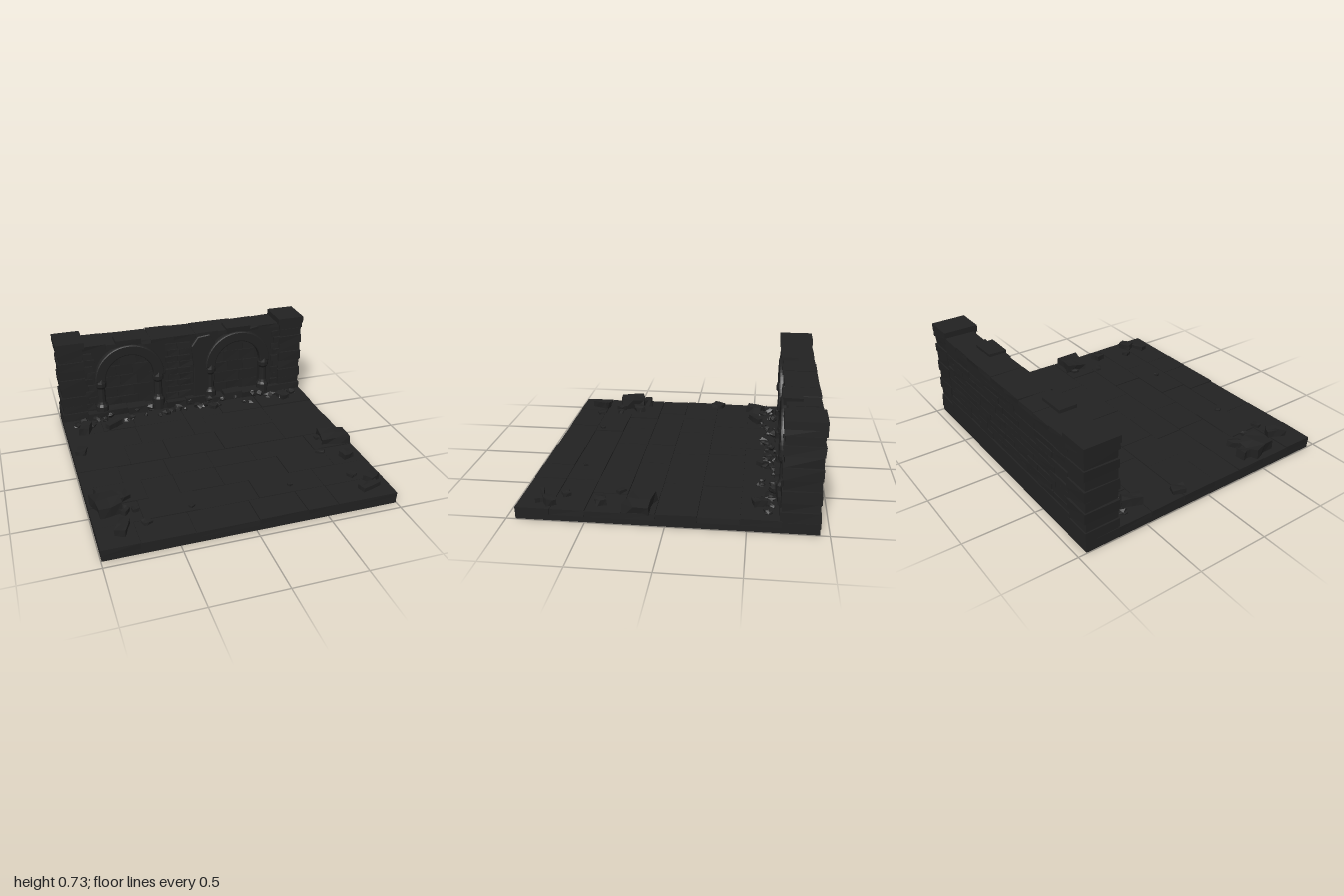
import * as THREE from 'three';

const stone = new THREE.MeshStandardMaterial({ color: 0x222222, flatShading: true });
stone.name = 'dark stone';

let seed = 7;
const rnd = (a = 0, b = 1) => {
  seed = (seed * 16807) % 2147483647;
  return a + (b - a) * seed / 2147483647;
};

// Shift coincident corners together so chipped stones stay closed
function chip(geo, amount) {
  const p = geo.attributes.position, moved = new Map();
  for (let i = 0; i < p.count; i++) {
    const key = [p.getX(i), p.getY(i), p.getZ(i)].map(v => Math.round(v * 1e4)).join();
    if (!moved.has(key)) moved.set(key, [0, 0, 0].map(() => rnd(-amount, amount)));
    const d = moved.get(key);
    p.setXYZ(i, p.getX(i) + d[0], p.getY(i) + d[1], p.getZ(i) + d[2]);
  }
  geo.computeVertexNormals();
  return geo;
}

function add(parent, name, geo, x = 0, y = 0, z = 0) {
  const m = new THREE.Mesh(geo, stone);
  m.name = name;
  m.position.set(x, y, z);
  parent.add(m);
  return m;
}

// Box given by its limits on each axis
function block(parent, name, x0, x1, y0, y1, z0, z1, rough = 0) {
  const g = new THREE.BoxGeometry(x1 - x0, y1 - y0, z1 - z0);
  if (rough) chip(g, rough);
  return add(parent, name, g, (x0 + x1) / 2, (y0 + y1) / 2, (z0 + z1) / 2);
}

function section(root, name) {
  const g = new THREE.Group();
  g.name = name;
  root.add(g);
  return g;
}

// Arch outline: half circle on two straight legs
function archPath(path, cx, r, springY, footY) {
  path.moveTo(cx - r, footY);
  path.lineTo(cx + r, footY);
  path.lineTo(cx + r, springY);
  path.absarc(cx, springY, r, 0, Math.PI, false);
  path.lineTo(cx - r, footY);
  return path;
}

function buildFloor(root) {
  const floor = section(root, 'floor');
  block(floor, 'floorSlab', -0.995, 0.995, 0, 0.071, -0.94, 0.94);
  // Uneven paving rows with staggered joints
  const rows = [-0.71, -0.46, -0.2, 0.06, 0.27, 0.5, 0.72, 0.943];
  const joints = [
    [-1, -0.72, -0.47, -0.07, 0.24, 0.57, 1], [-1, -0.48, -0.07, 0.06, 0.57, 1],
    [-1, -0.62, -0.33, 0.08, 0.56, 1], [-1, -0.72, -0.39, -0.07, 0.25, 0.7, 1],
    [-1, -0.6, -0.38, -0.07, 0.4, 0.75, 1], [-1, -0.68, -0.3, 0.1, 0.57, 1],
    [-1, -0.75, -0.4, 0.02, 0.35, 0.57, 1]];
  joints.forEach((xs, r) => {
    for (let i = 0; i + 1 < xs.length; i++)
      block(floor, 'pavingStone', xs[i] + 0.002, xs[i + 1] - 0.002, 0.04, 0.08 + rnd(-0.003, 0.003),
        rows[r] + 0.002, rows[r + 1] - 0.002, 0.0015);
  });
}

function buildPillar(root, side) {
  const pillar = section(root, side > 0 ? 'leftPillar' : 'rightPillar');
  const span = (a, b) => side > 0 ? [a, b] : [-b, -a];
  block(pillar, 'pillarCore', ...span(0.81, 0.975), 0, 0.68, -0.93, -0.71);
  // Stone courses that step in and out
  const ys = [0.04, 0.14, 0.2, 0.28, 0.35, 0.43, 0.5, 0.57, 0.63, 0.68];
  for (let i = 0; i + 1 < ys.length; i++) {
    const o = i % 2 ? 0 : 0.008;
    block(pillar, 'pillarCourse', ...span(0.805 - o / 2, 0.985 + o), ys[i] + 0.002, ys[i + 1] - 0.002,
      -0.935 - o, -0.705 + o, 0.003);
  }
  block(pillar, 'pillarCap', ...span(0.785, 1), 0.675, 0.725, -0.945, -0.693);
}

function buildArch(wall, cx) {
  // Moulded arch band
  const spring = 0.39;
  const ring = new THREE.Shape();
  ring.absarc(cx, spring, 0.265, 0, Math.PI, false);
  ring.absarc(cx, spring, 0.2, Math.PI, 0, true);
  const band = new THREE.ExtrudeGeometry(ring, {
    depth: 0.05, bevelThickness: 0.012, bevelSize: 0.01, bevelSegments: 2, curveSegments: 14 });
  add(wall, 'archBand', band, 0, 0, -0.745);
  // Engaged columns with base and capital
  const profile = [[0, 0.08], [0.05, 0.08], [0.05, 0.17], [0.038, 0.19], [0.032, 0.21], [0.03, 0.32],
    [0.044, 0.34], [0.046, 0.37], [0.036, 0.41], [0, 0.41]].map(p => new THREE.Vector2(...p));
  for (const s of [-1, 1])
    add(wall, 'archColumn', new THREE.LatheGeometry(profile, 10), cx + s * 0.228, 0, -0.72);
  block(wall, 'keystone', cx - 0.1, cx + 0.1, 0.655, 0.702, -0.82, -0.695, 0.004);
  // Uneven stones inside the niche
  for (let r = 0; r < 5; r++)
    for (let c = 0; c < 3; c++) {
      const x = cx - 0.2 + c * 0.135 - (r % 2) * 0.03, y = 0.11 + r * 0.09;
      block(wall, 'nicheStone', x + 0.002, x + 0.132, y + 0.002, y + 0.088, -0.82, -0.779 + rnd(0, 0.008), 0.003);
    }
}

function buildWall(root) {
  const wall = section(root, 'backWall');
  block(wall, 'wallCore', -0.82, 0.82, 0.04, 0.672, -0.915, -0.785);
  // Front facing with two arched openings
  const face = new THREE.Shape([[-0.82, 0.05], [0.82, 0.05], [0.82, 0.672], [-0.82, 0.672]]
    .map(p => new THREE.Vector2(...p)));
  for (const cx of [-0.45, 0.44]) face.holes.push(archPath(new THREE.Path(), cx, 0.205, 0.39, 0.09));
  add(wall, 'wallFace', new THREE.ExtrudeGeometry(face, { depth: 0.065, bevelEnabled: false, curveSegments: 12 }),
    0, 0, -0.79);
  buildArch(wall, -0.45);
  buildArch(wall, 0.44);
  // Broken pier beside the second arch
  const pier = new THREE.Shape([[0.07, 0.13], [0.18, 0.13], [0.24, 0.27], [0.23, 0.42], [0.27, 0.55],
    [0.2, 0.66], [0.11, 0.65], [0.06, 0.58], [0.08, 0.4]].map(p => new THREE.Vector2(...p)));
  add(wall, 'brokenPier', new THREE.ExtrudeGeometry(pier, { depth: 0.025, bevelThickness: 0.008, bevelSize: 0.006,
    bevelSegments: 1 }), 0, 0, -0.73);
  // Exposed bricks around the arches
  for (let r = 0; r < 9; r++) {
    const y = 0.15 + r * 0.053;
    for (const [x0, x1] of [[-0.8, -0.73], [-0.16, -0.06], [-0.06, 0.05], [0.735, 0.8]]) {
      const s = (r % 2) * 0.02;
      block(wall, 'frontBrick', x0 + s, x1 + s - 0.006, y, y + 0.047, -0.74, -0.716 + rnd(0, 0.012), 0.003);
    }
  }
  // Back masonry between plain plinth and cornice
  block(wall, 'backPlinth', -0.82, 0.82, 0, 0.165, -0.94, -0.88);
  block(wall, 'backCornice', -0.82, 0.82, 0.61, 0.672, -0.938, -0.88);
  for (let r = 0; r < 9; r++) {
    const y = 0.168 + r * 0.049;
    for (let x = -0.81; x < 0.8;) {
      const end = Math.min(0.81, x + rnd(0.12, 0.25));
      block(wall, 'backBrick', x, end - 0.005, y, y + 0.044, -0.93 - rnd(0, 0.007), -0.9, 0.0015);
      x = end;
    }
  }
  // Chipped coping along the top
  for (let i = 0; i < 9; i++) {
    const x = -0.8 + i * 0.178;
    block(wall, 'copingStone', x, x + 0.176, 0.65, 0.684 + rnd(-0.006, 0.006), -0.94, -0.715 + rnd(-0.01, 0.02), 0.004);
  }
  // Low ledge at the foot of the wall
  for (let i = 0; i < 10; i++) {
    const x = -0.8 + i * 0.16;
    block(wall, 'footStone', x, x + 0.156, 0.06, 0.13 + rnd(-0.01, 0.015), -0.76, -0.68 + rnd(-0.01, 0.02), 0.006);
  }
}

function buildRubble(root) {
  const rubble = section(root, 'rubble');
  // x, z, width, depth, top height, turn
  const stones = [
    [-0.85, -0.51, 0.07, 0.13, 0.13, -0.4], [-0.63, -0.52, 0.13, 0.05, 0.12, 0.5], [-0.93, -0.2, 0.07, 0.09, 0.11, -0.3],
    [-0.88, 0.52, 0.15, 0.18, 0.15, 0.2], [-0.77, 0.45, 0.1, 0.07, 0.12, 0.4], [-0.9, 0.4, 0.07, 0.07, 0.14, 0.1],
    [-0.83, 0.78, 0.07, 0.13, 0.13, -0.4], [-0.67, 0.75, 0.06, 0.05, 0.1, 0.3], [-0.78, 0.6, 0.06, 0.05, 0.11, 0.8],
    [-0.71, 0.6, 0.04, 0.04, 0.1, 0.2], [0.9, 0.17, 0.2, 0.16, 0.13, -0.15], [0.72, 0.32, 0.06, 0.04, 0.1, -0.6],
    [0.88, 0.42, 0.08, 0.07, 0.12, 0.3], [0.8, 0.66, 0.05, 0.05, 0.1, 0.5], [0.85, 0.82, 0.15, 0.06, 0.11, 0.3],
    [0.91, 0.74, 0.1, 0.07, 0.12, 0.5], [0.79, 0.13, 0.05, 0.05, 0.1, 0.1], [0.35, 0.64, 0.03, 0.03, 0.095, 0.3],
    [-0.35, 0.67, 0.04, 0.03, 0.095, 0.6], [0.8, -0.57, 0.07, 0.08, 0.12, 0.3], [0.2, -0.58, 0.06, 0.06, 0.11, 0.7]];
  for (const [x, z, w, d, top, turn] of stones) {
    const h = top - 0.06;
    const m = add(rubble, 'fallenStone', chip(new THREE.BoxGeometry(w, h, d, 2, 1, 2), Math.min(w, d) * 0.09),
      x, 0.06 + h / 2, z);
    m.rotation.y = turn;
  }
  // Debris heaped against the wall
  for (let i = 0; i < 34; i++) {
    const r = rnd(0.018, 0.042), z = rnd(-0.69, -0.57);
    const m = add(rubble, 'debris', chip(new THREE.DodecahedronGeometry(r), r * 0.25),
      -0.9 + i * 0.0545, 0.085 + Math.max(0, -0.62 - z) * 0.5, z);
    m.scale.y = 0.8;
    m.rotation.y = rnd(0, 3);
  }
}

export function createModel() {
  seed = 7;
  const root = new THREE.Group();
  root.name = 'ruinedCourtyard';
  buildFloor(root);
  buildWall(root);
  for (const side of [-1, 1]) buildPillar(root, side);
  buildRubble(root);
  return root;
}
